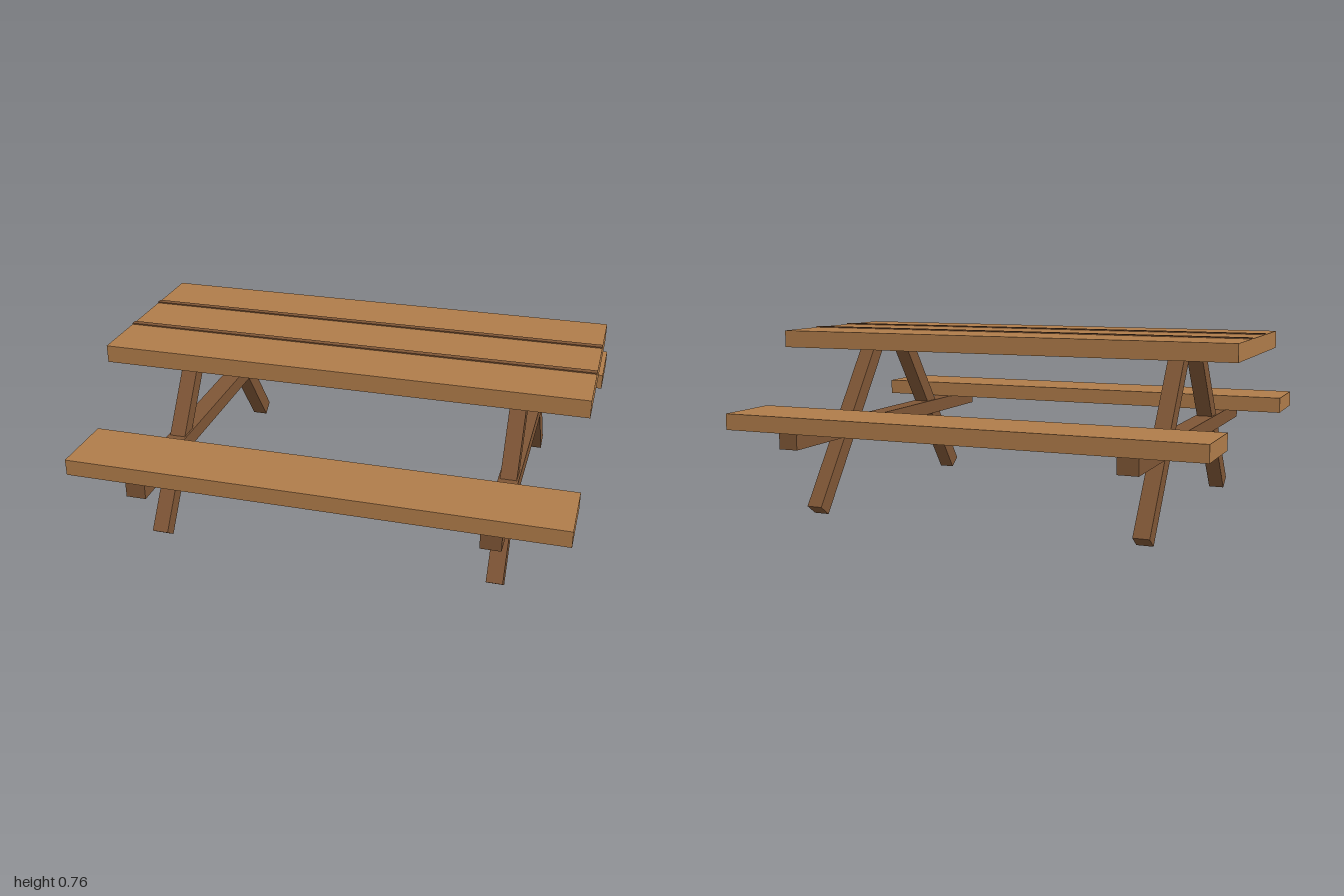
import * as THREE from 'three';

export function createModel() {
  const model = new THREE.Group();
  model.name = 'picnicTable';

  const plankWood = new THREE.MeshStandardMaterial({ color: 0xb07c4a });
  plankWood.name = 'plankWood';
  const frameWood = new THREE.MeshStandardMaterial({ color: 0x7f5636 });
  frameWood.name = 'frameWood';

  function beam(name, size, position, material) {
    const mesh = new THREE.Mesh(new THREE.BoxGeometry(...size), material);
    mesh.name = name;
    mesh.position.set(...position);
    model.add(mesh);
    return mesh;
  }

  // Table top
  beam('tableTop', [2, 0.073, 0.786], [0, 0.7165, 0], plankWood);

  for (const side of [1, -1]) {
    const end = side > 0 ? 'front' : 'back';

    // Dark groove strip between the boards
    beam(end + 'Groove', [2, 0.006, 0.027], [0, 0.755, side * 0.133], frameWood);

    // Bench seat
    beam(end + 'Bench', [2, 0.067, 0.282], [0, 0.4065, side * 0.684], plankWood);

    // Splayed legs, one at each end of the table
    for (const x of [0.708, -0.708]) {
      const leg = beam(end + (x > 0 ? 'Left' : 'Right') + 'Leg',
        [0.067, 0.817, 0.067], [x, 0.35, side * 0.376], frameWood);
      leg.rotation.x = -side * THREE.MathUtils.degToRad(36);
    }

    // Cross beam carrying both benches
    beam((side > 0 ? 'left' : 'right') + 'CrossBeam',
      [0.082, 0.064, 1.636], [side * 0.708, 0.34, 0], frameWood);
  }

  return model;
}
